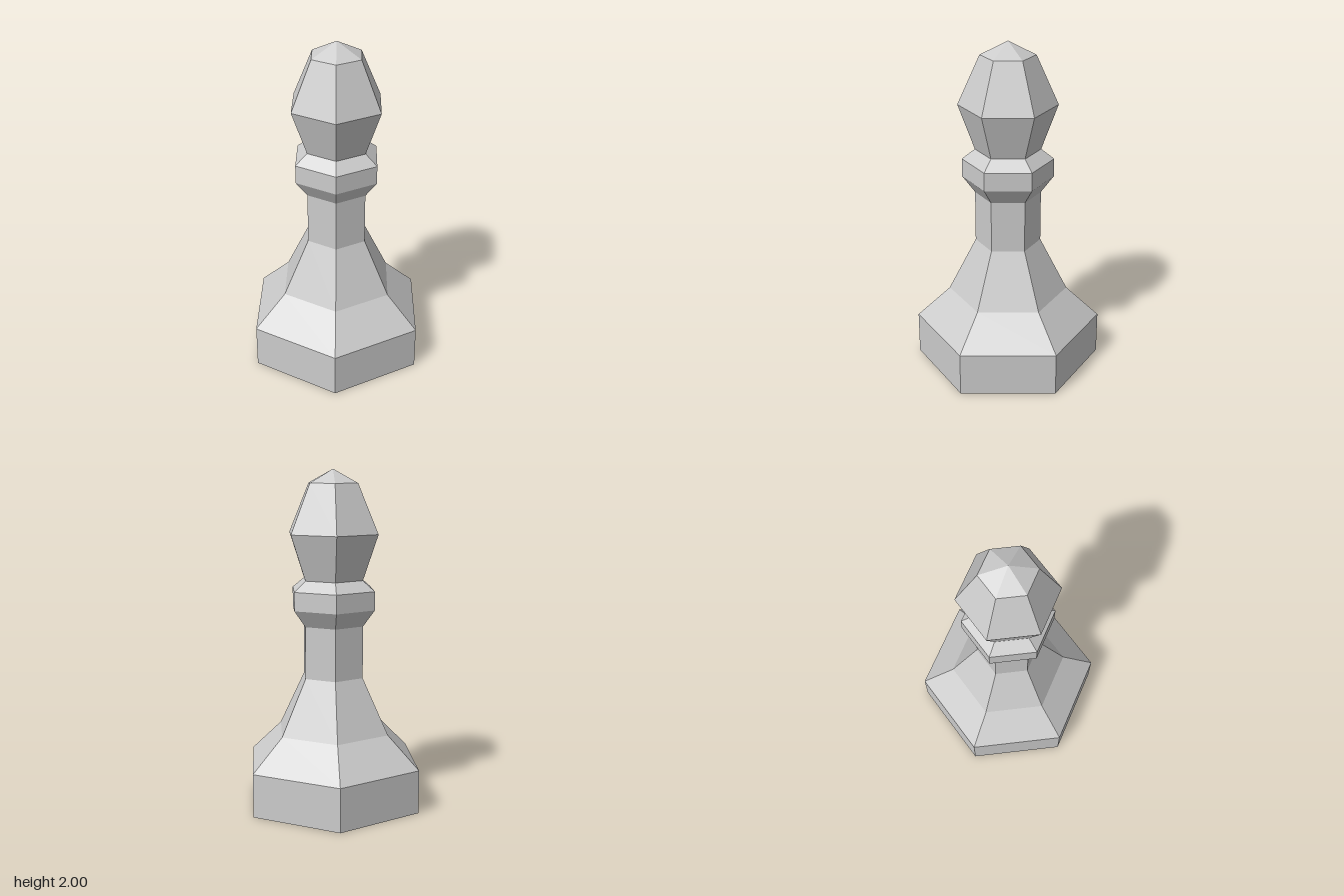
import * as THREE from 'three';

const material = new THREE.MeshStandardMaterial({ color: 0xcccccc, flatShading: true });

// Six-sided turned section, corners on the x axis; profile is [radius, height] from bottom to top
function turned(name, profile) {
  const points = profile.map(([r, y]) => new THREE.Vector2(r, y));
  const mesh = new THREE.Mesh(new THREE.LatheGeometry(points, 6, Math.PI / 6), material);
  mesh.name = name;
  return mesh;
}

export function createModel() {
  const model = new THREE.Group();
  model.name = 'chessPawn';
  model.add(
    // Plinth with closed underside and sloping shoulder
    turned('base', [[0, 0], [0.56, 0], [0.56, 0.26], [0.36, 0.45]]),
    // Flared foot rising into a straight neck
    turned('stem', [[0.36, 0.45], [0.195, 0.78], [0.195, 1.09]]),
    // Bevelled ring under the head
    turned('collar', [[0.195, 1.09], [0.27, 1.19], [0.27, 1.3], [0.193, 1.36]]),
    // Faceted head with a shallow pointed cap
    turned('head', [[0.193, 1.36], [0.29, 1.63], [0.16, 1.92], [0, 2]]),
  );
  return model;
}
